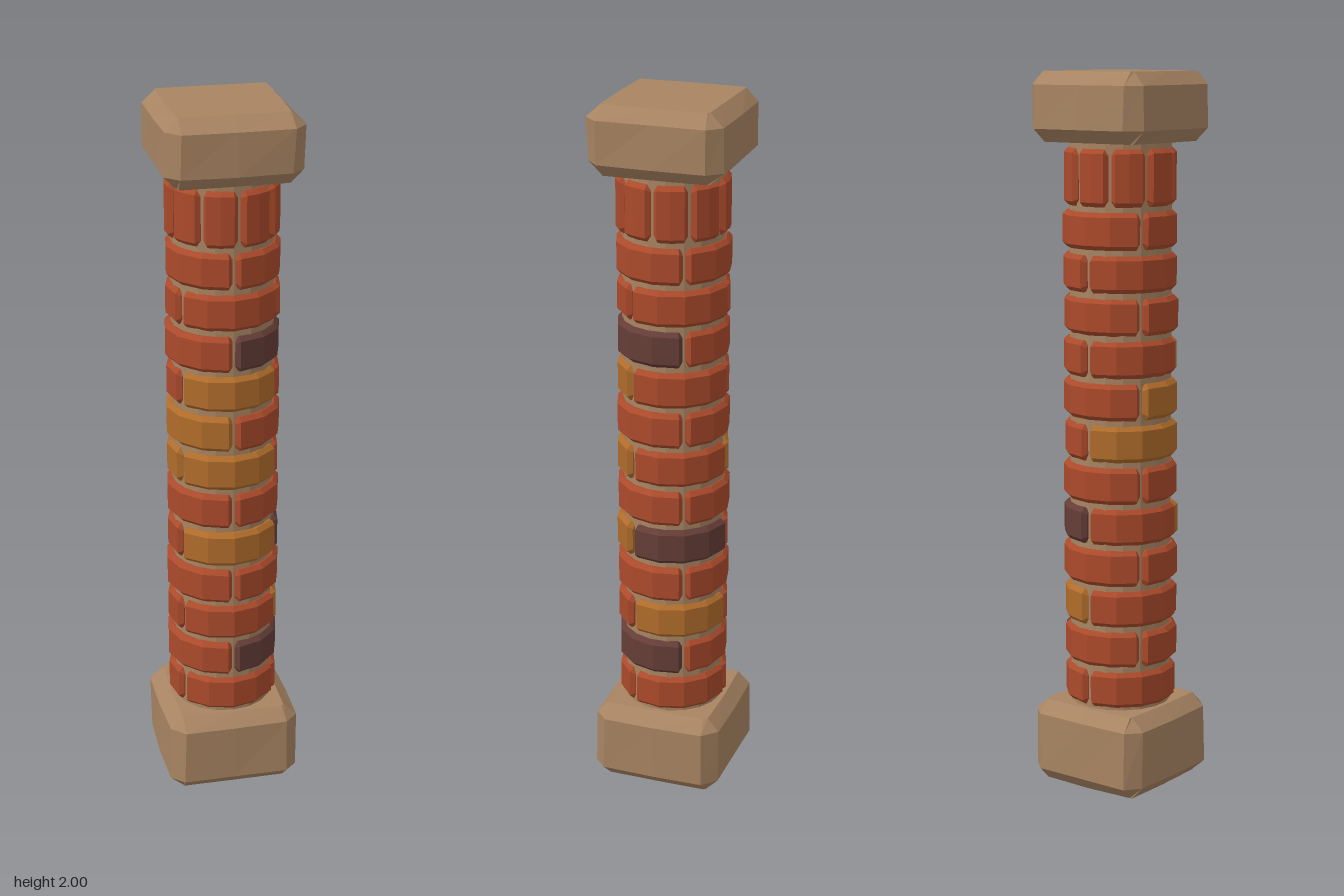
import * as THREE from 'three';

const paint = (name, color) => Object.assign(new THREE.MeshStandardMaterial({ color, flatShading: true }), { name });

// Small seeded generator for hand-cut irregularity
function makeJitter(seed) {
  return (amount) => {
    seed = (seed * 16807) % 2147483647;
    return (seed / 2147483647 - 0.5) * 2 * amount;
  };
}

// Skin a closed solid over equal-length rings of [x, y, z] points
function loft(rings) {
  const n = rings[0].length;
  const last = (rings.length - 1) * n;
  const index = [];
  for (let i = 0; i < rings.length - 1; i++) {
    for (let j = 0; j < n; j++) {
      const a = i * n + j, b = i * n + (j + 1) % n;
      index.push(a, b, b + n, a, b + n, a + n);
    }
  }
  for (let j = 1; j < n - 1; j++) {
    index.push(0, j + 1, j, last, last + j, last + j + 1);
  }
  const geometry = new THREE.BufferGeometry();
  geometry.setAttribute('position', new THREE.Float32BufferAttribute(rings.flat(2), 3));
  geometry.setIndex(index);
  const flat = geometry.toNonIndexed();
  flat.computeVertexNormals();
  return flat;
}

// Curved brick with bevelled edges, spanning angles a0..a1 (0 = front, growing towards +x)
function brickGeometry(a0, a1, y0, y1, radius, segments) {
  const inner = 0.12, bevel = 0.012, turn = bevel / radius;
  const station = (angle, inset) => {
    const r = radius - inset, lo = y0 + inset * 0.6, hi = y1 - inset * 0.6;
    const profile = [
      [inner, hi], [r - bevel, hi], [r, hi - bevel],
      [r, lo + bevel], [r - bevel, lo], [inner, lo],
    ];
    return profile.map(([d, y]) => [Math.sin(angle) * d, y, Math.cos(angle) * d]);
  };
  const rings = [station(a0, bevel)];
  for (let i = 0; i <= segments; i++) {
    rings.push(station(a0 + turn + (a1 - a0 - 2 * turn) * i / segments, 0));
  }
  rings.push(station(a1, bevel));
  return loft(rings);
}

// Rough square block with chamfered edges and slightly bulging sides
function stoneGeometry(y0, y1, seed) {
  const jitter = makeJitter(seed);
  const chamfer = 0.036;
  const ring = (y, w, c) => {
    const points = [];
    for (let s = 0; s < 4; s++) {
      const sin = Math.sin(s * Math.PI / 2), cos = Math.cos(s * Math.PI / 2);
      for (const [u, v] of [[-w + c, w], [0, w + 0.003], [w - c, w]]) {
        const p = u + jitter(0.004), q = v + jitter(0.003);
        points.push([p * cos + q * sin, y, -p * sin + q * cos]);
      }
    }
    return points;
  };
  return loft([
    ring(y0, 0.15, 0.006), ring(y0 + chamfer, 0.186, chamfer),
    ring(y1 - chamfer, 0.186, chamfer), ring(y1, 0.15, 0.006),
  ]);
}

export function createModel() {
  const model = new THREE.Group();
  model.name = 'brickColumn';
  const stone = paint('stone', 0xa88462);
  const red = paint('redBrick', 0xab4a2b);
  const orange = paint('orangeBrick', 0xb06c2a);
  const dark = paint('darkBrick', 0x653d37);
  const add = (name, geometry, material, parent = model) => {
    const mesh = new THREE.Mesh(geometry, material);
    mesh.name = name;
    parent.add(mesh);
    return mesh;
  };

  // Base and capital blocks
  add('baseStone', stoneGeometry(0, 0.235, 11), stone);
  add('capStone', stoneGeometry(1.81, 2, 29), stone);

  // Mortar core
  const core = add('mortarCore', new THREE.CylinderGeometry(0.142, 0.142, 1.7, 18), stone);
  core.position.y = 1.02;

  // Running courses: three bricks each, every other course turned by half a brick
  // Letters give each brick's colour, going round from the front towards +x
  const colours = { r: red, o: orange, d: dark };
  const courses = ['rrr', 'drr', 'ror', 'rrr', 'odr', 'rrr', 'oro', 'rro', 'orr', 'drr', 'rrr', 'rrr'];
  const jitter = makeJitter(77);
  const gap = 0.03;
  const third = Math.PI * 2 / 3;
  courses.forEach((pattern, row) => {
    const course = new THREE.Group();
    course.name = `brickCourse${row + 1}`;
    model.add(course);
    const y = 0.243 + row * 0.1165;
    const start = row % 2 ? 0 : -third / 2;
    [...pattern].forEach((letter, k) => {
      const a = start + k * third;
      const geometry = brickGeometry(a + gap, a + third - gap, y, y + 0.101, 0.158 + jitter(0.003), 4);
      add('brick', geometry, colours[letter], course);
    });
  });

  // Upright bricks under the capital
  const top = new THREE.Group();
  top.name = 'uprightCourse';
  model.add(top);
  const ninth = Math.PI * 2 / 9;
  for (let k = 0; k < 9; k++) {
    const a = 0.1 + k * ninth;
    add('uprightBrick', brickGeometry(a + gap, a + ninth - gap, 1.64, 1.795, 0.156 + jitter(0.002), 2), red, top);
  }
  return model;
}
